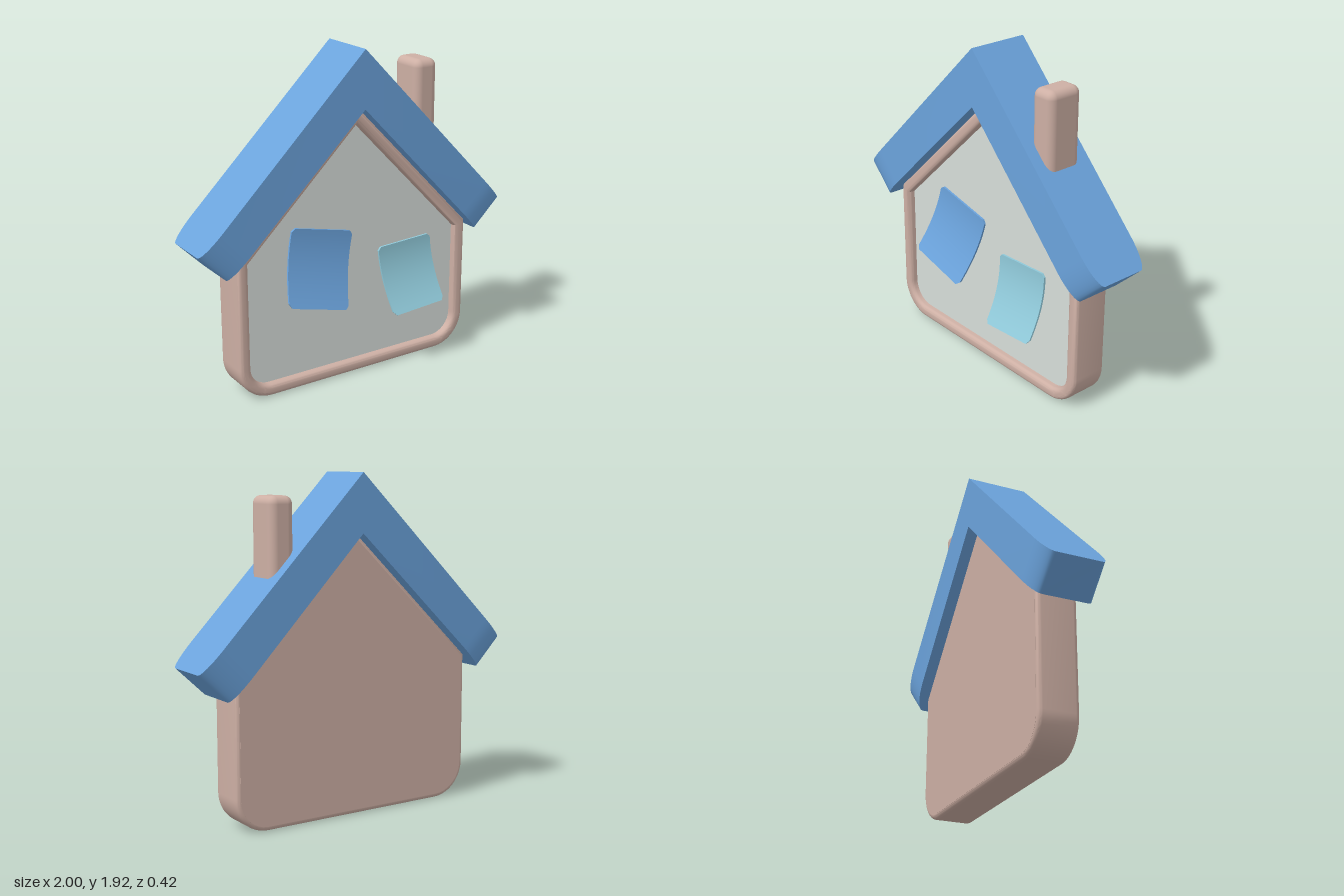
import * as THREE from 'three';
import { toCreasedNormals } from 'three/addons/utils/BufferGeometryUtils.js';
import { RoundedBoxGeometry } from 'three/addons/geometries/RoundedBoxGeometry.js';

const material = (color) => new THREE.MeshStandardMaterial({ color });
const CLAY = material(0xcdafa4), BLUE = material(0x6ba3dc);
const TEAL = material(0x8fc8d8), PALE = material(0xd6ddd9);

const PEAK = { x: 0.01, y: 1.59 };

// House outline moved inwards by d, with rounded bottom corners
function houseOutline(target, d) {
  const left = -0.76 + d, right = 0.78 - d, r = 0.2 - d;
  const top = PEAK.y - d * Math.SQRT2;
  target.moveTo(left + r, d);
  target.lineTo(right - r, d);
  target.absarc(right - r, d + r, r, -Math.PI / 2, 0, false);
  target.lineTo(right, top - (right - PEAK.x) * 1.037);
  target.lineTo(PEAK.x, top);
  target.lineTo(left, top - (PEAK.x - left) * 0.965);
  target.lineTo(left, d + r);
  target.absarc(left + r, d + r, r, Math.PI, Math.PI * 1.5, false);
  return target;
}

function extrude(shape, back, front, bevel) {
  const geometry = new THREE.ExtrudeGeometry(shape, {
    depth: front - back - 2 * bevel, curveSegments: 10,
    bevelEnabled: bevel > 0, bevelSize: bevel, bevelThickness: bevel, bevelSegments: 5,
  });
  geometry.translate(0, 0, back + bevel);
  return toCreasedNormals(geometry, 0.6);
}

// Mitred roof band: four-cornered sections from the left eave over the ridge to the right eave
function roofGeometry() {
  const positions = [], index = [], midZ = -0.03, halfDepth = 0.18;
  const addSection = (outer, inner, half) => {
    for (const [p, z] of [[outer, half], [outer, -half], [inner, -half], [inner, half]])
      positions.push(p.x, p.y, midZ + z);
  };
  const ridge = new THREE.Vector2(0.01, 1.92), innerRidge = new THREE.Vector2(PEAK.x, PEAK.y);
  const eave = (outer, inner, order) => {
    const dir = ridge.clone().sub(outer).normalize();
    for (const i of order) {
      const t = 1 - Math.cos(i / 8 * Math.PI / 2); // fine steps at the tip
      const half = halfDepth - 0.05 + 0.05 * Math.sqrt(1 - (1 - t) ** 2);
      addSection(outer.clone().addScaledVector(dir, t * 0.18), inner.clone().addScaledVector(dir, t * 0.18), half);
    }
  };
  const steps = [0, 1, 2, 3, 4, 5, 6, 7, 8];
  eave(new THREE.Vector2(-1, 0.93), new THREE.Vector2(-0.84, 0.77), steps);
  addSection(ridge, innerRidge, halfDepth);
  eave(new THREE.Vector2(1, 0.9), new THREE.Vector2(0.83, 0.74), [...steps].reverse());

  const last = positions.length / 3 - 4;
  for (let s = 0; s < last; s += 4)
    for (let j = 0; j < 4; j++) {
      const a = s + j, b = s + (j + 1) % 4;
      index.push(a, a + 4, b + 4, a, b + 4, b);
    }
  index.push(0, 1, 2, 0, 2, 3, last, last + 2, last + 1, last, last + 3, last + 2);
  const geometry = new THREE.BufferGeometry();
  geometry.setAttribute('position', new THREE.Float32BufferAttribute(positions, 3));
  geometry.setIndex(index);
  return toCreasedNormals(geometry, 0.6);
}

// Thin sheet between four corners (top left, top right, bottom right, bottom left), curling forwards at the foot
function noteGeometry([tl, tr, br, bl], z, curl) {
  const geometry = new THREE.BoxGeometry(1, 1, 1, 20, 20, 1);
  const p = geometry.attributes.position;
  const mix = THREE.MathUtils.lerp;
  for (let i = 0; i < p.count; i++) {
    let x = p.getX(i), y = p.getY(i);
    if (Math.abs(x) > 0.49 && Math.abs(y) > 0.49) { x *= 0.95; y *= 0.95; }
    const u = x + 0.5, t = 0.5 - y;
    p.setXYZ(i,
      mix(mix(tl[0], tr[0], u), mix(bl[0], br[0], u), t),
      mix(mix(tl[1], tr[1], u), mix(bl[1], br[1], u), t),
      z + curl * t * t + p.getZ(i) * 0.012);
  }
  return toCreasedNormals(geometry, 0.6);
}

export function createModel() {
  const group = new THREE.Group();
  const add = (name, geometry, mat) => {
    const mesh = new THREE.Mesh(geometry, mat);
    mesh.name = name;
    group.add(mesh);
    return mesh;
  };

  // Raised rim around the board
  const bevel = 0.025;
  const rim = houseOutline(new THREE.Shape(), bevel);
  rim.holes.push(houseOutline(new THREE.Path(), 0.07 - bevel));
  add('rim', extrude(rim, -0.15, 0.08, bevel), CLAY);

  // Back plate and recessed front panel
  add('backPlate', extrude(houseOutline(new THREE.Shape(), bevel), -0.151, 0.02, 0), CLAY);
  add('frontPanel', extrude(houseOutline(new THREE.Shape(), 0.06), 0.01, 0.035, 0), PALE);

  // Roof and chimney
  add('roof', roofGeometry(), BLUE);
  add('chimney', new RoundedBoxGeometry(0.15, 0.56, 0.22, 5, 0.045), CLAY).position.set(0.475, 1.52, -0.03);

  // Two curled paper notes
  add('largeNote', noteGeometry([[-0.4, 0.96], [-0.005, 0.87], [-0.11, 0.45], [-0.495, 0.55]], 0.045, 0.12), BLUE);
  add('smallNote', noteGeometry([[0.155, 0.74], [0.52, 0.757], [0.54, 0.375], [0.185, 0.352]], 0.07, 0.13), TEAL);

  return group;
}
